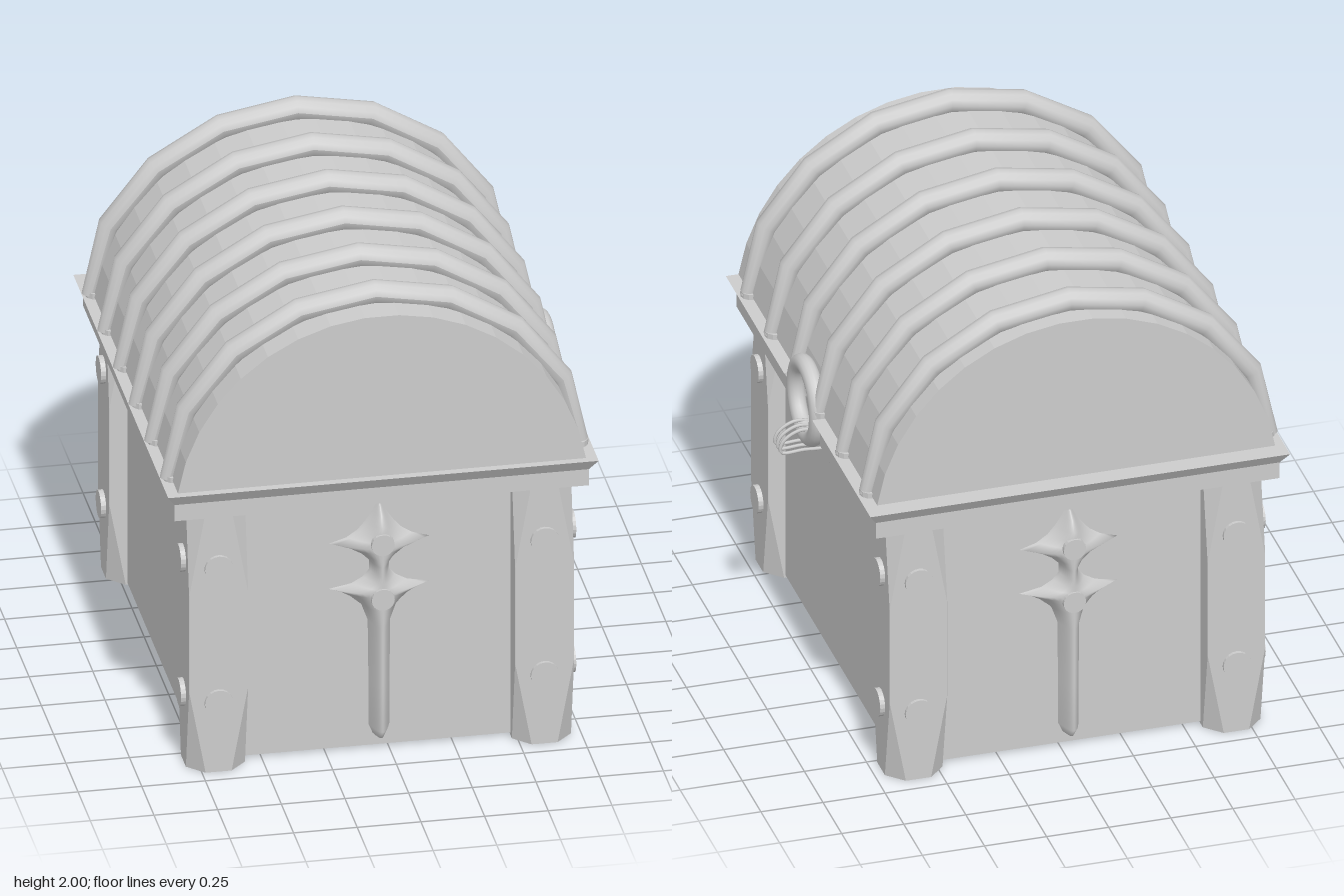
import * as THREE from 'three';

const CX = -0.045; // middle of the chest, the handle sticks out on one side
const flat = new THREE.MeshStandardMaterial({ color: 0xcccccc, flatShading: true });
const smooth = new THREE.MeshStandardMaterial({ color: 0xcccccc });
const thin = new THREE.MeshStandardMaterial({ color: 0xcccccc, side: THREE.DoubleSide });

function add(parent, name, geometry, material, x = 0, y = 0, z = 0) {
  const mesh = new THREE.Mesh(geometry, material);
  mesh.name = name;
  mesh.position.set(x, y, z);
  parent.add(mesh);
  return mesh;
}

// Solid through horizontal sections; points are [x, z], counter-clockwise from above
function loft(sections) {
  const pos = [], idx = [], n = sections[0].pts.length;
  for (const s of sections) for (const [x, z] of s.pts) pos.push(x, s.y, z);
  for (let k = 0; k < sections.length - 1; k++) {
    for (let i = 0; i < n; i++) {
      const a = k * n + i, b = k * n + (i + 1) % n;
      idx.push(a, b, b + n, a, b + n, a + n);
    }
  }
  const top = (sections.length - 1) * n;
  const contour = sections[0].pts.map(([x, z]) => new THREE.Vector2(x, -z));
  for (const [a, b, c] of THREE.ShapeUtils.triangulateShape(contour, [])) {
    idx.push(c, b, a, top + a, top + b, top + c);
  }
  const g = new THREE.BufferGeometry();
  g.setAttribute('position', new THREE.Float32BufferAttribute(pos, 3));
  g.setIndex(idx);
  const out = g.toNonIndexed();
  out.computeVertexNormals();
  return out;
}

// Square with cut corners
function octagon(h, c) {
  const k = h - c;
  return [[h, k], [h, -k], [k, -h], [-k, -h], [-h, -k], [-h, k], [-k, h], [k, h]];
}

// Rectangle with a notch in the +x side for the lock plate
function rimOutline(hx, hz) {
  const n = 0.19, d = 0.74;
  return [[hx, hz], [hx, n], [d, n], [d, -n], [hx, -n], [hx, -hz], [-hx, -hz], [-hx, hz]];
}

// Arched rib that narrows towards its feet
function ribGeometry() {
  const R = 0.845, start = 0.15, segs = 8, sides = 12;
  const path = new THREE.Curve();
  path.getPoint = (t, v = new THREE.Vector3()) => {
    const a = start + t * (Math.PI - 2 * start);
    const r = R - 0.025 * Math.pow(Math.abs(2 * t - 1), 8);
    return v.set(r * Math.cos(a), r * Math.sin(a), 0);
  };
  const g = new THREE.TubeGeometry(path, segs, 0.048, sides);
  const p = g.attributes.position, v = new THREE.Vector3();
  for (let j = 0; j <= segs; j++) {
    const c = path.getPointAt(j / segs);
    const f = 1 - 0.35 * Math.pow(Math.abs(2 * j / segs - 1), 4);
    for (let i = 0; i <= sides; i++) {
      const k = j * (sides + 1) + i;
      v.fromBufferAttribute(p, k).sub(c).multiplyScalar(f).add(c);
      p.setXYZ(k, v.x, v.y, v.z);
    }
  }
  g.computeVertexNormals();
  return g;
}

// Swelling relief from half widths up its height
function crossGeometry() {
  const rows = [[0.045, 0.004], [0.06, 0.025], [0.1, 0.042], [0.3, 0.042], [0.55, 0.045],
    [0.62, 0.07], [0.66, 0.115], [0.68, 0.15], [0.698, 0.2], [0.715, 0.11], [0.74, 0.065], [0.77, 0.04],
    [0.81, 0.04], [0.84, 0.07], [0.87, 0.125], [0.893, 0.2], [0.915, 0.13], [0.945, 0.085],
    [0.98, 0.055], [1.02, 0.028], [1.07, 0.002]];
  const N = 16, pos = [], idx = [];
  rows.forEach(([y, w], r) => {
    const d = 0.085 * Math.min(1, w / 0.04);
    for (let i = 0; i <= N; i++) {
      const u = 2 * i / N - 1;
      pos.push(u * w, y, d * Math.cos(u * Math.PI / 2));
      if (r && i) {
        const c = r * (N + 1) + i, a = c - N - 1;
        idx.push(a - 1, a, c, a - 1, c, c - 1);
      }
    }
  });
  const g = new THREE.BufferGeometry();
  g.setAttribute('position', new THREE.Float32BufferAttribute(pos, 3));
  g.setIndex(idx);
  g.computeVertexNormals();
  return g;
}

export function createModel() {
  const chest = new THREE.Group();
  chest.name = 'chest';

  // Box and the flared rim around its top
  add(chest, 'body', new THREE.BoxGeometry(1.37, 1.19, 1.67), flat, CX, 0.605, 0);
  const band = rimOutline(0.813, 0.935), flare = rimOutline(0.845, 0.97);
  add(chest, 'rim', loft([{ y: 1.1, pts: band }, { y: 1.17, pts: band }, { y: 1.22, pts: flare }]), flat, CX);

  // Corner posts with studs on both outer faces
  const postGeo = loft([
    { y: 0, pts: octagon(0.116, 0.065) }, { y: 0.35, pts: octagon(0.116, 0.001) },
    { y: 0.77, pts: octagon(0.116, 0.001) }, { y: 1.1, pts: octagon(0.116, 0.06) },
  ]);
  const studGeo = new THREE.CylinderGeometry(0.056, 0.056, 0.06, 20);
  for (const sx of [-1, 1]) {
    for (const sz of [-1, 1]) {
      const corner = new THREE.Group();
      corner.name = 'cornerPost';
      corner.position.set(CX + sx * 0.64, 0, sz * 0.816);
      add(corner, 'post', postGeo, flat);
      for (const y of [0.3, 0.88]) {
        add(corner, 'sideStud', studGeo, flat, sx * 0.106, y, 0).rotation.z = Math.PI / 2;
        add(corner, 'endStud', studGeo, flat, 0, y, sz * 0.1).rotation.x = Math.PI / 2;
      }
      chest.add(corner);
    }
  }

  // Barrel lid
  const arc = new THREE.Shape();
  const R = 0.81, a0 = 0.148, steps = 17;
  for (let i = 0; i <= steps; i++) {
    const a = a0 + (i / steps) * (Math.PI - 2 * a0);
    arc[i ? 'lineTo' : 'moveTo'](R * Math.cos(a), R * Math.sin(a));
  }
  arc.closePath();
  add(chest, 'lid', new THREE.ExtrudeGeometry(arc, { depth: 1.86, bevelEnabled: false }), flat, CX - 0.003, 1.11, -0.905);

  // Ribs over the lid, each with a small pad under its feet
  const ribGeo = ribGeometry();
  const padGeo = new THREE.CylinderGeometry(0.045, 0.045, 0.025, 12);
  for (let i = 0; i < 6; i++) {
    const z = -0.79 + i * 0.319;
    add(chest, 'rib', ribGeo, thin, CX - 0.005, 1.107, z);
    for (const s of [-1, 1]) add(chest, 'ribFoot', padGeo, flat, CX + s * 0.79, 1.23, z);
  }

  // Cross relief on front and back
  const crossGeo = crossGeometry();
  const bossGeo = new THREE.CylinderGeometry(0.045, 0.045, 0.09, 20);
  for (const s of [1, -1]) {
    const cross = new THREE.Group();
    cross.name = s > 0 ? 'frontCross' : 'backCross';
    cross.position.set(-0.037, 0, s * 0.833);
    if (s < 0) cross.rotation.y = Math.PI;
    add(cross, 'relief', crossGeo, thin);
    for (const y of [0.675, 0.91]) add(cross, 'boss', bossGeo, flat, 0, y, 0.047).rotation.x = Math.PI / 2;
    chest.add(cross);
  }

  // Lock plate, ring and wire loops on the left side
  add(chest, 'lockPlate', new THREE.CylinderGeometry(0.175, 0.175, 0.09, 32), flat, 0.66, 1.11, 0).rotation.z = Math.PI / 2;
  add(chest, 'ring', new THREE.TorusGeometry(0.149, 0.035, 14, 36), smooth, 0.765, 1.2, 0).rotation.y = Math.PI / 2;
  const wire = new THREE.CatmullRomCurve3(
    [[0.7, 1.005], [0.79, 1.003], [0.88, 1.005], [0.873, 1.05], [0.81, 1.09], [0.75, 1.085], [0.71, 1.05]]
      .map(([x, y]) => new THREE.Vector3(x, y, 0)), true);
  const wireGeo = new THREE.TubeGeometry(wire, 32, 0.007, 6, true);
  for (const z of [-0.037, 0, 0.037]) add(chest, 'wireLoop', wireGeo, smooth, 0, 0, z);

  return chest;
}
